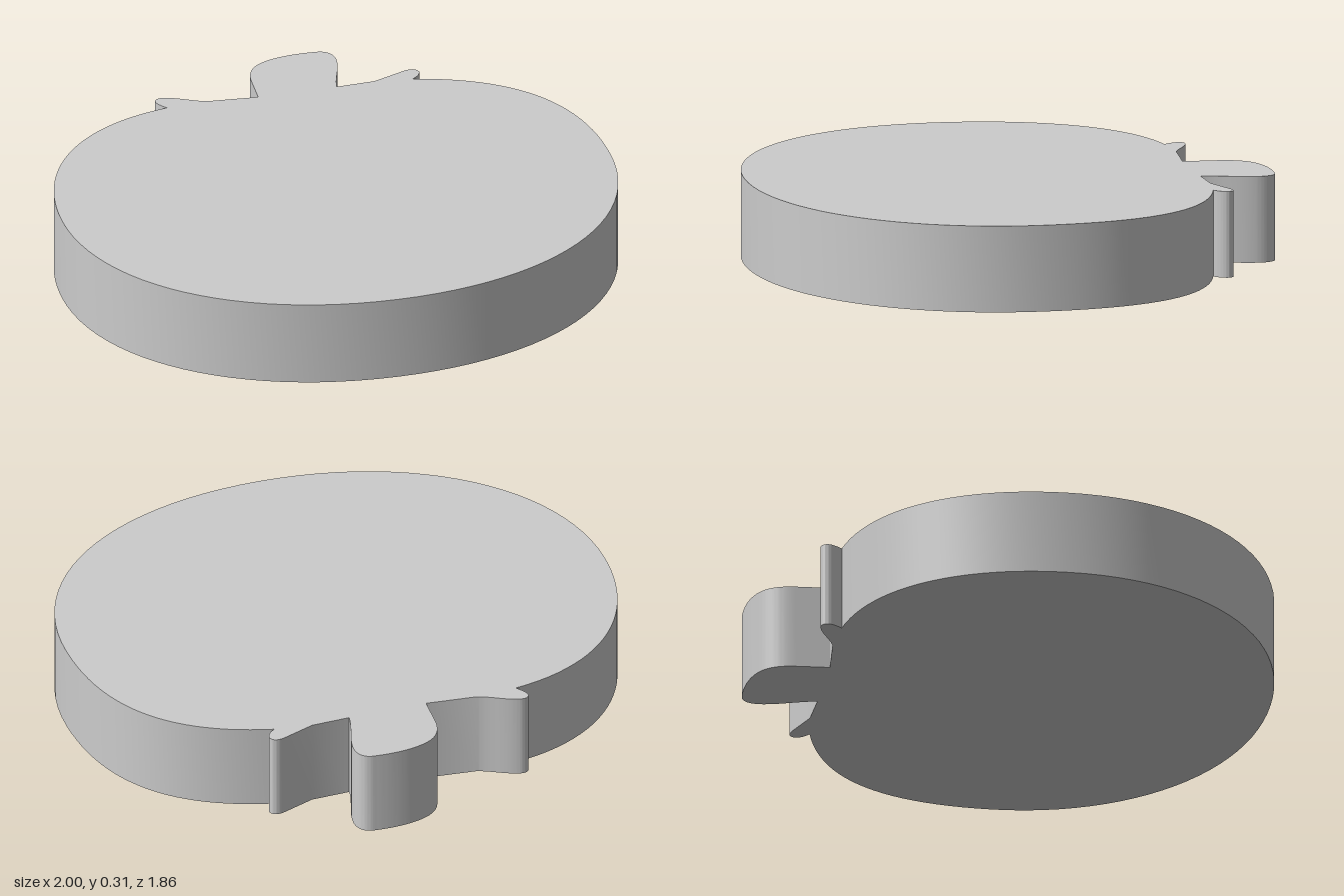
import * as THREE from 'three';
import { toCreasedNormals } from 'three/addons/utils/BufferGeometryUtils.js';

const HEIGHT = 0.31;

// Outline seen from above; shape y points to the back (-z)
function pumpkinOutline() {
  const s = new THREE.Shape();
  const k = 0.58, low = -0.07, bottom = -0.93, drop = low - bottom;

  // Round body, lower half
  s.moveTo(-1, low);
  s.bezierCurveTo(-1, low - k * drop, -k, bottom, 0, bottom);
  s.bezierCurveTo(k, bottom, 1, low - k * drop, 1, low);
  // Right shoulder
  s.bezierCurveTo(1, 0.36, 0.8, 0.57, 0.465, 0.65);
  // Right leaf
  s.quadraticCurveTo(0.495, 0.67, 0.5, 0.695);
  s.bezierCurveTo(0.495, 0.725, 0.47, 0.725, 0.44, 0.712);
  s.lineTo(0.33, 0.667);
  s.lineTo(0.19, 0.66);
  // Stem
  s.bezierCurveTo(0.2, 0.73, 0.235, 0.79, 0.24, 0.86);
  s.bezierCurveTo(0.24, 0.91, 0.215, 0.93, 0.18, 0.93);
  s.bezierCurveTo(0.12, 0.935, 0.05, 0.93, 0, 0.91);
  s.bezierCurveTo(-0.07, 0.885, -0.09, 0.83, -0.092, 0.77);
  s.lineTo(-0.098, 0.655);
  // Left leaf
  s.lineTo(-0.28, 0.67);
  s.bezierCurveTo(-0.33, 0.685, -0.37, 0.72, -0.42, 0.732);
  s.bezierCurveTo(-0.455, 0.74, -0.465, 0.715, -0.455, 0.695);
  s.quadraticCurveTo(-0.445, 0.675, -0.43, 0.658);
  // Left shoulder
  s.bezierCurveTo(-0.8, 0.6, -1, 0.3, -1, low);
  return s;
}

export function createModel() {
  const group = new THREE.Group();
  group.name = 'pumpkinPlate';

  const solid = new THREE.ExtrudeGeometry(pumpkinOutline(), {
    depth: HEIGHT, bevelEnabled: false, curveSegments: 24,
  });
  solid.rotateX(-Math.PI / 2);

  const slab = new THREE.Mesh(
    toCreasedNormals(solid, 0.6),
    new THREE.MeshStandardMaterial({ color: 0xcccccc }),
  );
  slab.name = 'pumpkinSlab';
  group.add(slab);
  return group;
}
